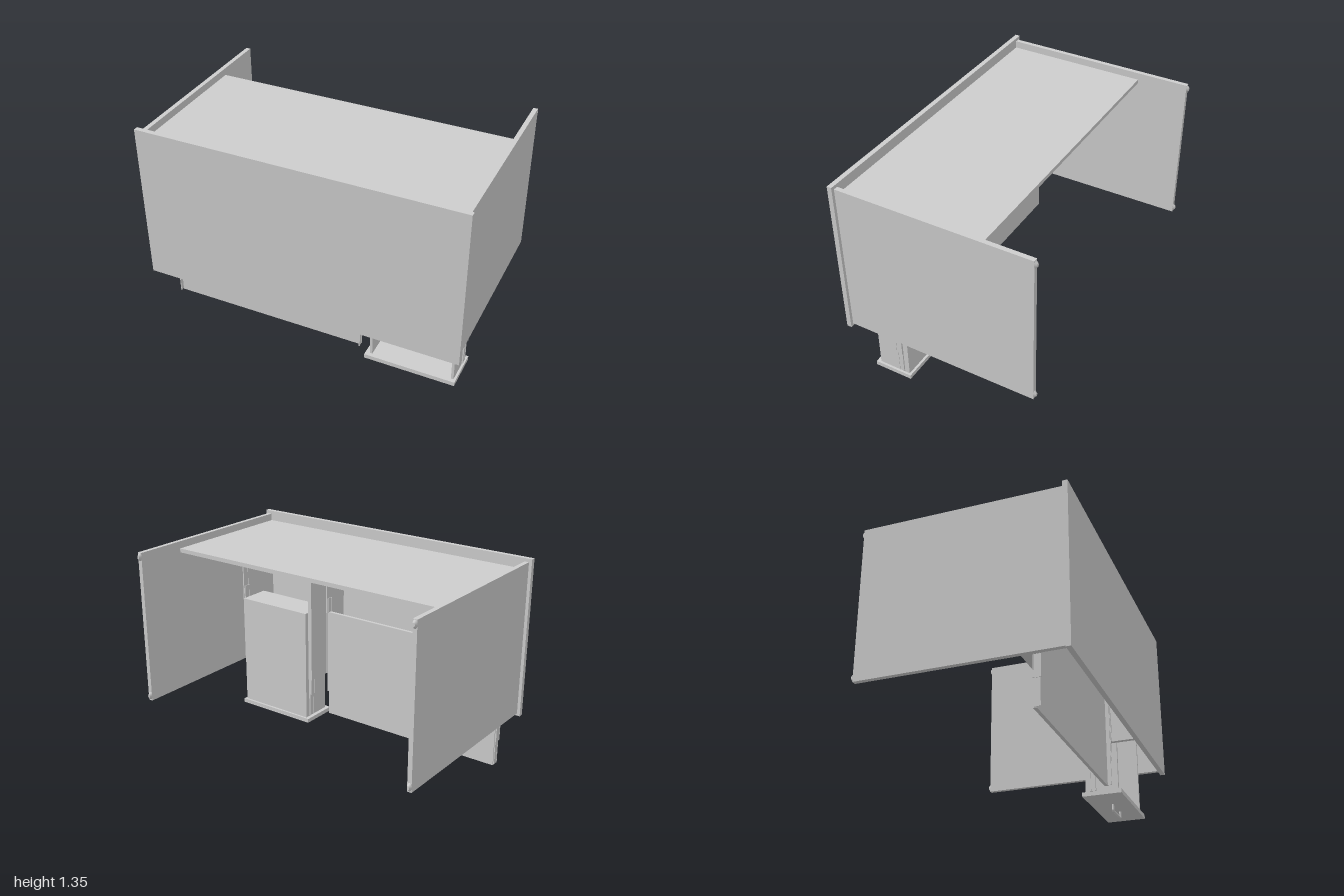
import * as THREE from 'three';

export function createModel() {
  const desk = new THREE.Group();
  desk.name = 'tippedDesk';
  const grey = new THREE.MeshStandardMaterial({ color: 0xcccccc });
  grey.name = 'paleGrey';

  // Box given by its extents on each axis
  function box(name, [x0, x1], [y0, y1], [z0, z1], parent = desk) {
    const mesh = new THREE.Mesh(new THREE.BoxGeometry(x1 - x0, y1 - y0, z1 - z0), grey);
    mesh.position.set((x0 + x1) / 2, (y0 + y1) / 2, (z0 + z1) / 2);
    mesh.name = name;
    parent.add(mesh);
    return mesh;
  }

  // Desktop, standing upright at the front
  box('desktop', [-1, 1], [0.355, 1.355], [0.595, 0.625]);

  // Side panels with glide feet on their rear edges
  for (const s of [-1, 1]) {
    box('sidePanel', [s * 0.967 - 0.014, s * 0.967 + 0.014], [0.37, 1.335], [-0.612, 0.595]);
    for (const y of [0.4, 1.308]) {
      const foot = new THREE.Mesh(new THREE.CylinderGeometry(0.012, 0.026, 0.014, 16), grey);
      foot.rotation.x = -Math.PI / 2;
      foot.scale.x = 0.6;
      foot.position.set(s * 0.967, y, -0.618);
      foot.name = 'glideFoot';
      desk.add(foot);
    }
  }

  // Modesty panel and the partition beside the drawer
  box('modestyPanel', [-0.953, 0.953], [1.265, 1.29], [-0.29, 0.595]);
  box('partition', [0.338, 0.365], [0.37, 1.265], [0.24, 0.595]);

  // Pull-out tray
  box('tray', [-0.937, 0.315], [0.08, 0.81], [0.4, 0.42]);

  // Telescopic runner: fixed, middle and moving channels, side s facing the wall
  function runner(name, wallX, s, z, gap) {
    const group = new THREE.Group();
    group.name = name;
    const parts = [[0.37, 1.05, 0.025], [0.24, 0.9, 0.022], [0.085, 0.8, 0.018]];
    parts.forEach(([y0, y1, half], i) => {
      const a = wallX - s * gap * i / 3;
      const b = wallX - s * gap * (i + 1) / 3;
      const xs = [Math.min(a, b), Math.max(a, b)];
      const mid = (a + b) / 2;
      box('runnerWeb', [mid - 0.0015, mid + 0.0015], [y0, y1], [z - half, z + half], group);
      for (const e of [-1, 1]) {
        const ze = z + e * (half - 0.003);
        box('runnerLip', xs, [y0, y1], [ze - 0.003, ze + 0.003], group);
      }
    });
    desk.add(group);
  }
  runner('trayRunner', -0.953, -1, 0.425, 0.016);
  runner('trayRunner', 0.338, 1, 0.425, 0.022);
  runner('drawerRunner', 0.953, 1, 0.305, 0.025);
  runner('drawerRunner', 0.365, -1, 0.305, 0.033);

  // Drawer: box open towards the desktop
  const drawer = new THREE.Group();
  drawer.name = 'drawer';
  desk.add(drawer);
  box('drawerFront', [0.372, 0.942], [0.05, 0.077], [0.24, 0.487], drawer);
  box('drawerBottom', [0.398, 0.928], [0.077, 0.82], [0.255, 0.267], drawer);
  box('drawerSide', [0.398, 0.414], [0.077, 0.82], [0.267, 0.462], drawer);
  box('drawerSide', [0.912, 0.928], [0.077, 0.82], [0.267, 0.462], drawer);
  box('drawerBack', [0.414, 0.912], [0.804, 0.82], [0.267, 0.462], drawer);

  // Drawer handle: slim bent bar
  const path = new THREE.CurvePath();
  const points = [[0.576, 0.052], [0.576, 0.014], [0.584, 0.007], [0.733, 0.007], [0.741, 0.014], [0.741, 0.052]]
    .map(([x, y]) => new THREE.Vector3(x, y, 0.377));
  for (let i = 1; i < points.length; i++) path.add(new THREE.LineCurve3(points[i - 1], points[i]));
  const handle = new THREE.Mesh(new THREE.TubeGeometry(path, 48, 0.007, 10), grey);
  handle.name = 'drawerHandle';
  drawer.add(handle);

  return desk;
}
